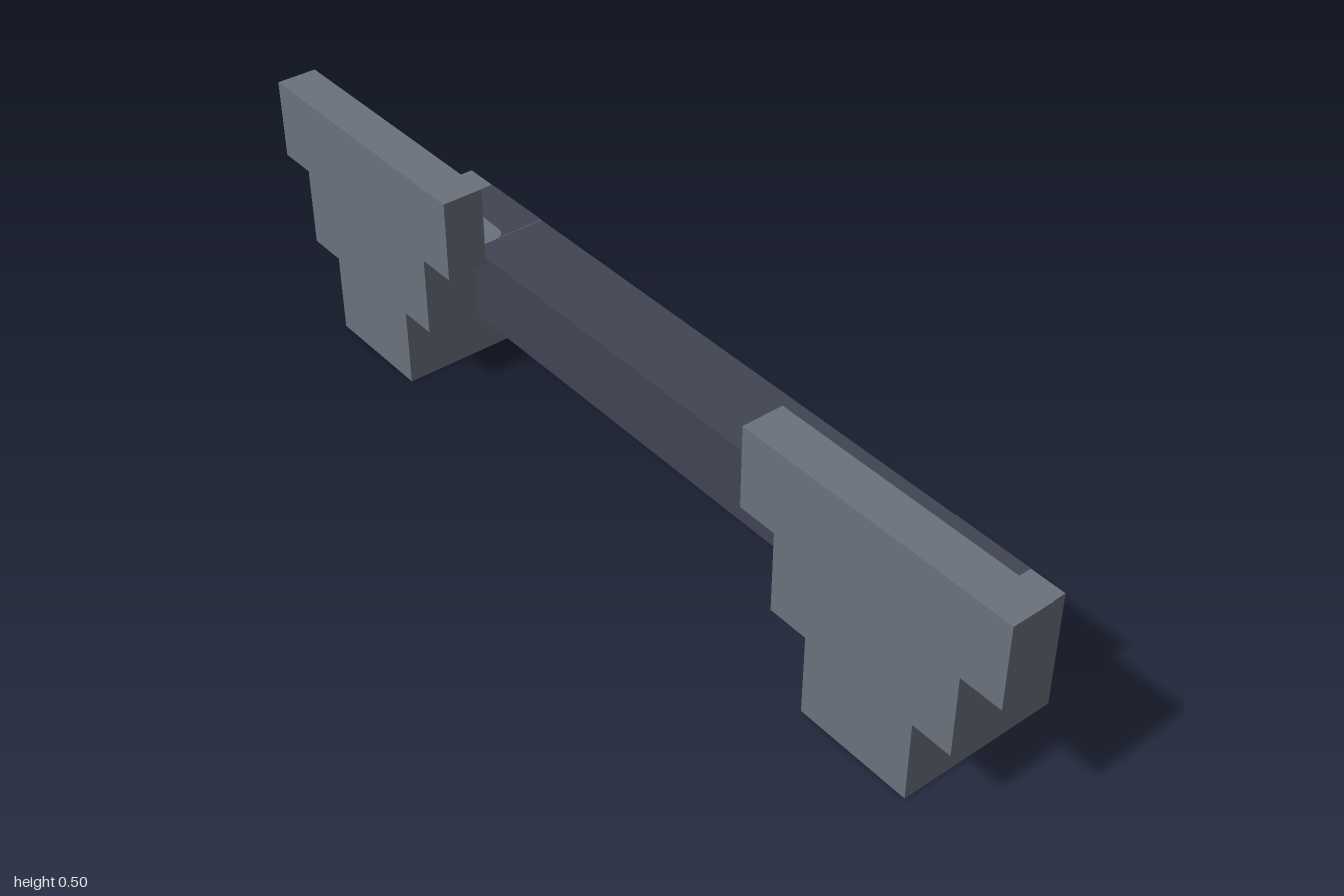
import * as THREE from 'three';

const grey = new THREE.MeshStandardMaterial({ color: 0x6b727d });
grey.name = 'stone grey';
const dark = new THREE.MeshStandardMaterial({ color: 0x414453 });
dark.name = 'dark slate';

const BACK = -0.167, FRONT = 0.167, PANEL_BACK = 0.083;
const FOOT_IN = 0.585, FOOT_OUT = 0.832, TOP = 0.25, BEAM_LOW = 0.09;

function box(name, material, [x0, x1], [y0, y1], [z0, z1]) {
  const mesh = new THREE.Mesh(new THREE.BoxGeometry(x1 - x0, y1 - y0, z1 - z0), material);
  mesh.position.set((x0 + x1) / 2, (y0 + y1) / 2, (z0 + z1) / 2);
  mesh.name = name;
  return mesh;
}

// Stepped front panel, widening upward in three tiers
function steppedPanel() {
  const outline = [
    [FOOT_IN, 0], [FOOT_OUT, 0], [FOOT_OUT, 0.168], [0.915, 0.168], [0.915, 0.335], [1, 0.335],
    [1, 0.502], [0.417, 0.502], [0.417, 0.335], [0.5, 0.335], [0.5, 0.168], [FOOT_IN, 0.168],
  ];
  const shape = new THREE.Shape(outline.map(([x, y]) => new THREE.Vector2(x, y)));
  const geometry = new THREE.ExtrudeGeometry(shape, { depth: FRONT - PANEL_BACK, bevelEnabled: false });
  const mesh = new THREE.Mesh(geometry, grey);
  mesh.position.z = PANEL_BACK;
  mesh.name = 'steppedPanel';
  return mesh;
}

// Dark inlay on top of the foot, drawn with y as -z
function topInlay(s) {
  const shape = new THREE.Shape();
  shape.moveTo(s * FOOT_IN, -BACK);
  shape.lineTo(s * 0.757, -BACK);
  shape.lineTo(s * 0.757, 0.11);
  shape.quadraticCurveTo(s * 0.757, 0.082, s * 0.725, 0.082);
  shape.lineTo(s * 0.615, 0.08);
  shape.quadraticCurveTo(s * FOOT_IN, 0.08, s * FOOT_IN, 0.05);
  const mesh = new THREE.Mesh(new THREE.ShapeGeometry(shape, 8), dark);
  mesh.rotation.x = -Math.PI / 2;
  mesh.position.y = TOP + 0.001;
  mesh.name = 'topInlay';
  return mesh;
}

// Dark inlay on the back of the foot, with a rounded lower corner
function backInlay(s) {
  const shape = new THREE.Shape();
  shape.moveTo(-s * FOOT_IN, BEAM_LOW);
  shape.lineTo(-s * 0.71, BEAM_LOW);
  shape.quadraticCurveTo(-s * 0.757, BEAM_LOW, -s * 0.757, BEAM_LOW + 0.045);
  shape.lineTo(-s * 0.757, TOP);
  shape.lineTo(-s * FOOT_IN, TOP);
  const mesh = new THREE.Mesh(new THREE.ShapeGeometry(shape, 8), dark);
  mesh.rotation.y = Math.PI;
  mesh.position.z = BACK - 0.001;
  mesh.name = 'backInlay';
  return mesh;
}

export function createModel() {
  const model = new THREE.Group();
  model.name = 'bracketBeam';

  model.add(box('crossBeam', dark, [-FOOT_IN, FOOT_IN], [BEAM_LOW, TOP], [BACK, 0]));

  for (const s of [1, -1]) {
    const bracket = new THREE.Group();
    bracket.name = s > 0 ? 'leftBracket' : 'rightBracket';
    const xs = s > 0 ? [FOOT_IN, FOOT_OUT] : [-FOOT_OUT, -FOOT_IN];
    bracket.add(box('foot', grey, xs, [0, TOP], [BACK, PANEL_BACK]));
    const panel = steppedPanel();
    // The panel is symmetric about its own centre, so shifting mirrors it
    if (s < 0) panel.position.x = -1.417;
    bracket.add(panel, topInlay(s), backInlay(s));
    model.add(bracket);
  }
  return model;
}
